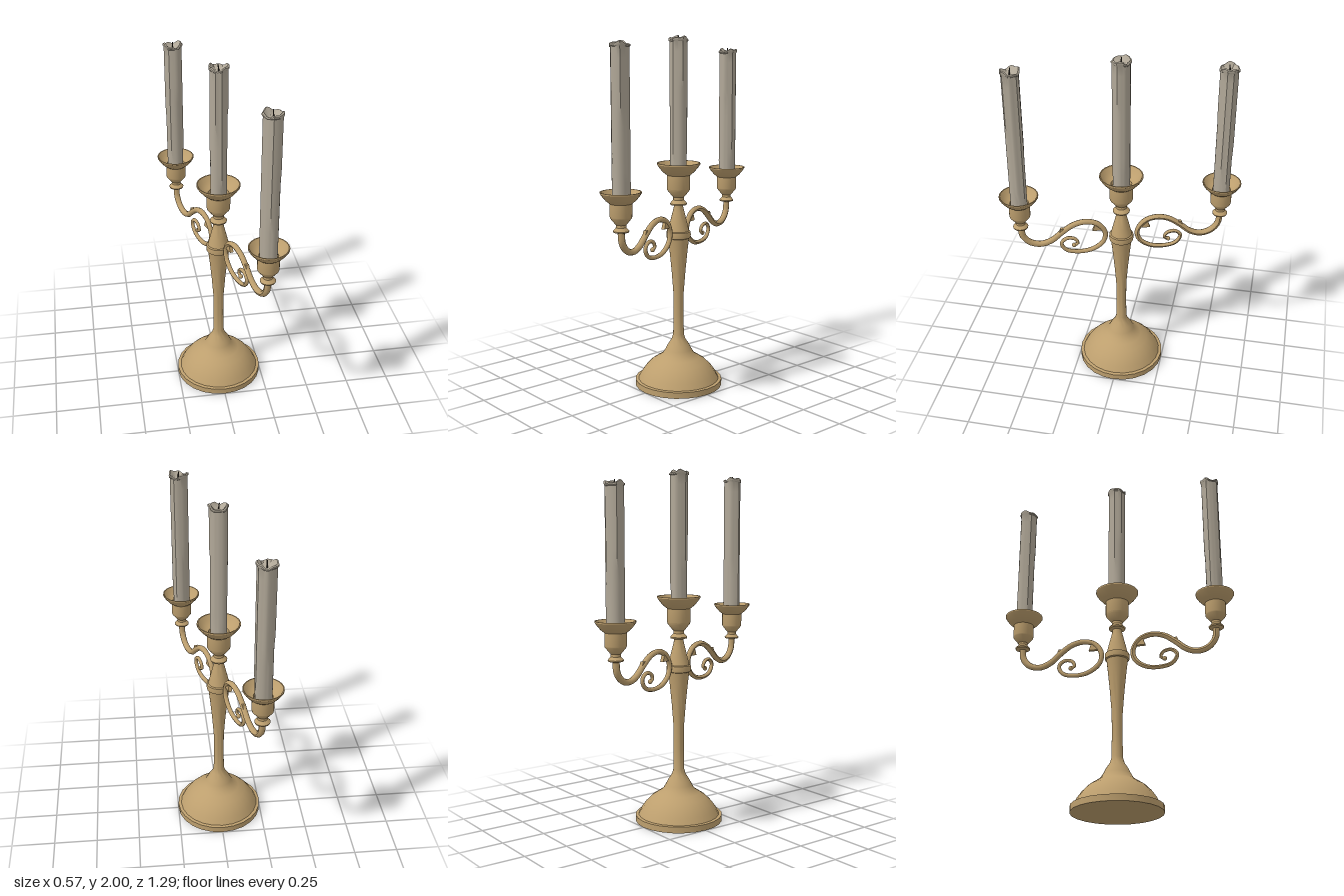
import * as THREE from 'three';
import { toCreasedNormals } from 'three/addons/utils/BufferGeometryUtils.js';

const brass = new THREE.MeshStandardMaterial({ color: 0xbd9f6e });
brass.name = 'brass';
const wax = new THREE.MeshStandardMaterial({ color: 0xb1a898 });
wax.name = 'wax';
const char = new THREE.MeshStandardMaterial({ color: 0x3b352e });
char.name = 'wick char';

const vectors = (pairs) => pairs.map(([x, y]) => new THREE.Vector2(x, y));

function mesh(name, geometry, material) {
  const m = new THREE.Mesh(geometry, material);
  m.name = name;
  return m;
}

function turned(name, profile, sides = 24) {
  const g = new THREE.LatheGeometry(vectors(profile), sides);
  return mesh(name, toCreasedNormals(g, 0.55), brass);
}

// Knob, socket and flared drip pan; y = 0 is the underside of the knob
function createCup(name, s) {
  return turned(name, [
    [0, 0], [0.022, 0], [0.046, 0.006], [0.048, 0.014], [0.03, 0.034], [0.03, 0.05],
    [0.036, 0.055], [0.064, 0.09], [0.066, 0.098], [0.066, 0.175], [0.088, 0.192],
    [0.108, 0.215], [0.122, 0.236], [0.122, 0.244], [0.116, 0.244],
    [0.1, 0.218], [0.08, 0.2], [0.064, 0.192], [0.058, 0.19], [0.058, 0.165], [0, 0.165],
  ].map(([r, y]) => [r * s, y * s]));
}

// Candle with wax runs down the side, an uneven lip and a melted hollow
function createCandle(name, height, seed) {
  const group = new THREE.Group();
  group.name = name;
  const profile = [[0, 0]];
  for (let i = 0; i <= 14; i++) profile.push([0.046, (height - 0.03) * i / 14]);
  profile.push([0.051, height - 0.022], [0.051, height - 0.012], [0.044, height - 0.008],
    [0.036, height - 0.02], [0.02, height - 0.036], [0, height - 0.04]);
  const g = new THREE.LatheGeometry(vectors(profile), 28);
  const p = g.attributes.position;
  for (let i = 0; i < p.count; i++) {
    const x = p.getX(i), y = p.getY(i), z = p.getZ(i);
    const r = Math.hypot(x, z);
    if (r < 0.001) continue;
    const a = Math.atan2(z, x);
    let bump = 0.0015 * Math.sin(3 * a + seed);
    for (let k = 0; k < 6; k++) {
      const d = a - seed - k * 1.047 - 0.25 * Math.sin(k * 5 + seed);
      const da = Math.atan2(Math.sin(d), Math.cos(d));
      const length = height * (0.3 + 0.65 * Math.abs(Math.sin(k * 2.3 + seed)));
      const reach = THREE.MathUtils.smoothstep(y, height - length - 0.05, height - length);
      bump += 0.005 * Math.exp(-((da / 0.22) ** 2)) * reach;
    }
    const scale = 1 + bump / 0.048;
    const lip = THREE.MathUtils.smoothstep(y, height - 0.04, height - 0.012);
    const wave = 0.008 * Math.sin(2 * a + seed) + 0.005 * Math.sin(5 * a + 2 * seed);
    p.setXYZ(i, x * scale, y + lip * (wave - 0.004), z * scale);
  }
  group.add(mesh('candleWax', toCreasedNormals(g, 0.6), wax));
  const wick = mesh('wick', new THREE.CylinderGeometry(0.003, 0.004, 0.045, 6), char);
  wick.position.y = height - 0.022;
  wick.rotation.z = 0.12;
  group.add(wick);
  return group;
}

// Scroll arm drawn in the x-y plane, thinning toward the curl
function createScroll() {
  const path = new THREE.CatmullRomCurve3([
    [0.567, 1.0], [0.558, 0.938], [0.519, 0.892], [0.458, 0.875], [0.397, 0.895],
    [0.336, 0.946], [0.269, 0.992], [0.197, 1.006], [0.131, 0.983], [0.092, 0.922],
    [0.104, 0.862], [0.165, 0.815], [0.25, 0.803], [0.318, 0.822], [0.343, 0.868],
    [0.312, 0.9], [0.265, 0.892], [0.25, 0.862], [0.272, 0.85],
  ].map(([x, y]) => new THREE.Vector3(x, y, 0)));
  const steps = 90, sides = 8, radius = 0.019;
  const g = new THREE.TubeGeometry(path, steps, radius, sides);
  const p = g.attributes.position;
  const v = new THREE.Vector3();
  for (let i = 0; i < p.count; i++) {
    const t = Math.floor(i / (sides + 1)) / steps;
    const c = path.getPointAt(t);
    const k = t < 0.5 ? 1 - 0.4 * t : 0.8 - 0.6 * (t - 0.5);
    v.fromBufferAttribute(p, i).sub(c).multiplyScalar(k).add(c);
    p.setXYZ(i, v.x, v.y, v.z);
  }
  g.computeVertexNormals();
  return mesh('scroll', g, brass);
}

// Small pointed leaf lying in the plane of the arm
function createLeaf(corners) {
  const g = new THREE.ExtrudeGeometry(new THREE.Shape(vectors(corners)), { depth: 0.02, bevelEnabled: false });
  g.translate(0, 0, -0.01);
  return mesh('leaf', g, brass);
}

function createArm(name, candleHeight, seed) {
  const arm = new THREE.Group();
  arm.name = name;
  arm.add(createScroll());
  arm.add(createLeaf([[0.365, 0.918], [0.3, 0.965], [0.345, 0.97]]));
  arm.add(createLeaf([[0.15, 0.985], [0.11, 0.945], [0.165, 0.945]]));
  const end = mesh('curlEnd', new THREE.SphereGeometry(0.013, 10, 8), brass);
  end.position.set(0.272, 0.85, 0);
  const cup = createCup('sideCup', 0.885);
  cup.position.set(0.567, 0.995, 0);
  const candle = createCandle('sideCandle', candleHeight, seed);
  candle.position.set(0.567, 1.142, 0);
  arm.add(end, cup, candle);
  return arm;
}

export function createModel() {
  const model = new THREE.Group();
  model.name = 'candelabra';

  // Foot, domed base and column
  model.add(turned('baseAndColumn', [
    [0, 0], [0.25, 0], [0.25, 0.035], [0.232, 0.037], [0.215, 0.07], [0.19, 0.105],
    [0.158, 0.138], [0.12, 0.163], [0.092, 0.182], [0.075, 0.21], [0.06, 0.24],
    [0.04, 0.27], [0.031, 0.3], [0.029, 0.42], [0.03, 0.55], [0.04, 0.68],
    [0.052, 0.8], [0.06, 0.868], [0.068, 0.872], [0.07, 0.89], [0.068, 0.906],
    [0.06, 0.91], [0.048, 0.96], [0.033, 1.02], [0.026, 1.05], [0.026, 1.06], [0, 1.06],
  ]));

  // Central cup and candle
  const cup = createCup('centreCup', 1);
  cup.position.y = 1.054;
  const candle = createCandle('centreCandle', 0.78, 1.1);
  candle.position.y = 1.219;
  model.add(cup, candle);

  // Two arms on opposite sides, turned away from the front axis
  const angle = -Math.atan2(0.54, 0.175);
  const front = createArm('frontArm', 0.832, 2.7);
  front.rotation.y = angle;
  const back = createArm('backArm', 0.785, 4.3);
  back.rotation.y = angle + Math.PI;
  model.add(front, back);
  return model;
}
